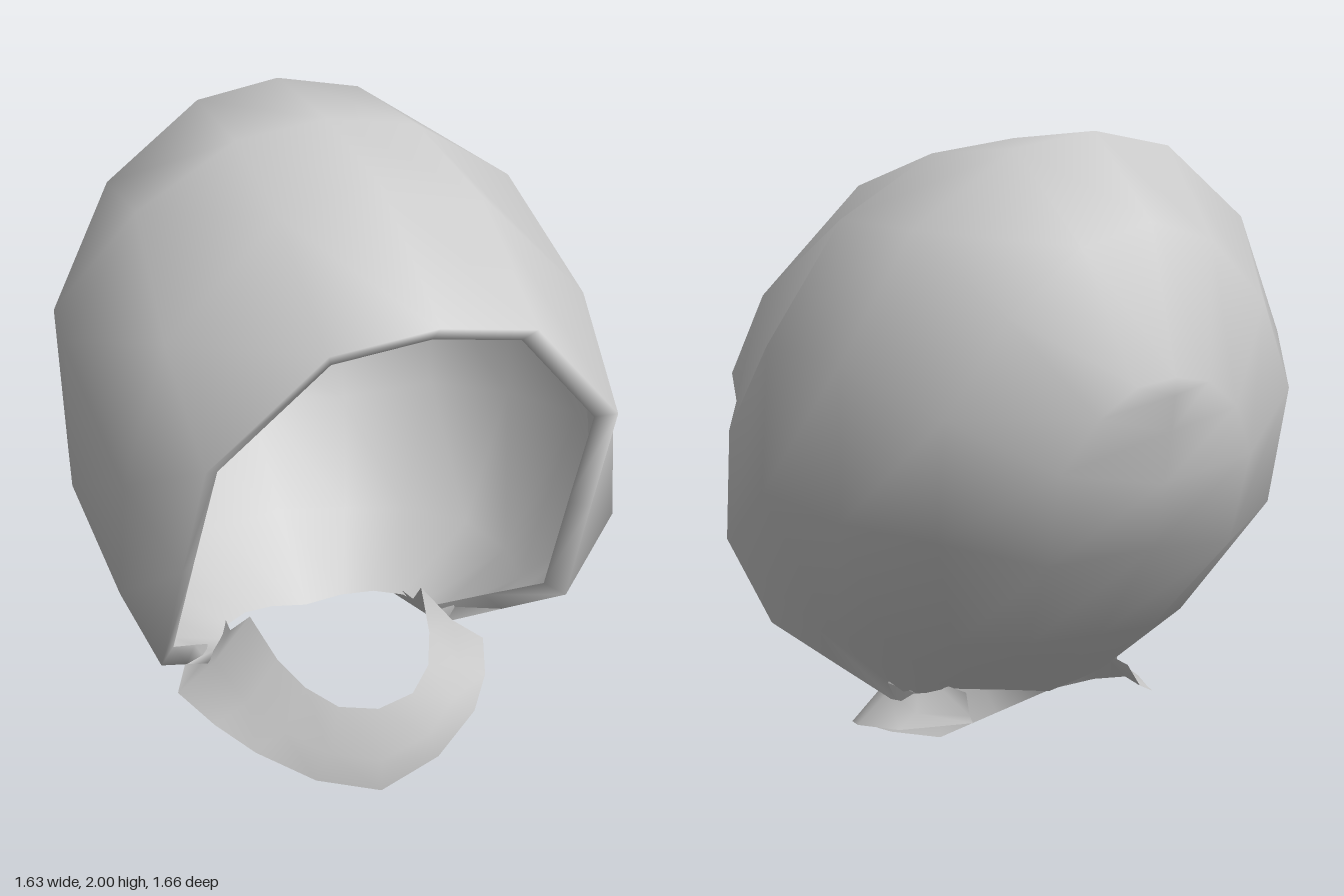
import * as THREE from 'three';
import { mergeVertices } from 'three/addons/utils/BufferGeometryUtils.js';

// Turns half sections (x >= 0, starting on the midline) into a full mirrored section
const mirror = (row) => [...row.slice(1).reverse().map(([x, y, z]) => [-x, y, z]), ...row];

// Skins a list of half sections into one smooth, mirrored surface
function loft(rows) {
  const full = rows.map(mirror);
  const n = full[0].length;
  const index = [];
  for (let j = 0; j < full.length - 1; j++) {
    for (let k = 0; k < n - 1; k++) {
      const a = j * n + k, b = a + 1, c = a + n, d = c + 1;
      index.push(a, b, c, b, d, c);
    }
  }
  const g = new THREE.BufferGeometry();
  g.setAttribute('position', new THREE.Float32BufferAttribute(full.flat(2), 3));
  g.setIndex(index);
  const merged = mergeVertices(g, 1e-4);
  merged.computeVertexNormals();
  return merged;
}

export function createModel() {
  const group = new THREE.Group();
  const cloth = new THREE.MeshStandardMaterial({ color: 0xcccccc, side: THREE.DoubleSide });
  cloth.name = 'paleGreyCloth';
  const add = (name, geometry) => {
    const mesh = new THREE.Mesh(geometry, cloth);
    mesh.name = name;
    group.add(mesh);
  };

  // Face opening, from the peak down to the neck
  const rim = [[0, 1.6, 0.83], [0.3, 1.55, 0.8], [0.61, 1.23, 0.7], [0.63, 0.87, 0.53],
    [0.65, 0.5, 0.36], [0.52, 0.39, 0.18], [0.4, 0.29, 0.02]];
  // Hem folded back inside the opening
  const hem = rim.map(([x, y, z]) => [x * 0.92, 0.9 + (y - 0.9) * 0.935, z - 0.05]);

  // Arches fanning from the crown to the back, all ending on the neck edge
  const arches = [
    [[0, 1.88, 0.4], [0.3, 1.82, 0.42], [0.63, 1.5, 0.42], [0.755, 1.1, 0.41], [0.775, 0.77, 0.4], [0.57, 0.5, 0.2], [0.38, 0.32, 0]],
    [[0, 1.97, 0], [0.28, 1.93, 0], [0.58, 1.75, 0], [0.81, 1.4, 0.02], [0.815, 0.97, 0.06], [0.6, 0.52, 0.03], [0.34, 0.33, -0.05]],
    [[0, 2, -0.43], [0.26, 1.955, -0.42], [0.56, 1.74, -0.38], [0.755, 1.38, -0.32], [0.74, 0.93, -0.28], [0.54, 0.55, -0.15], [0.3, 0.35, -0.1]],
    [[0, 1.76, -0.71], [0.22, 1.7, -0.69], [0.43, 1.52, -0.66], [0.585, 1.25, -0.59], [0.57, 0.9, -0.52], [0.4, 0.55, -0.32], [0.22, 0.35, -0.16]],
    [[0, 1.35, -0.83], [0.12, 1.33, -0.82], [0.23, 1.25, -0.8], [0.32, 1.1, -0.75], [0.31, 0.83, -0.67], [0.22, 0.54, -0.42], [0.12, 0.34, -0.19]],
  ];
  // Centre line of the back, where the last arch closes
  const spine = [[1.35, -0.83], [1.3, -0.825], [1.2, -0.81], [1.05, -0.78], [0.86, -0.73],
    [0.55, -0.46], [0.32, -0.2]].map(([y, z]) => [0, y, z]);
  add('hood', loft([hem, rim, ...arches, spine]));

  // Chin strap: a wide curved band under the opening
  const upper = [[0, 0.265, 0.43], [0.12, 0.285, 0.41], [0.2, 0.33, 0.34], [0.25, 0.38, 0.23],
    [0.285, 0.46, 0.08], [0.31, 0.36, -0.04], [0.29, 0.36, -0.2]];
  const lower = [[0, 0, 0.46], [0.2, 0.06, 0.43], [0.36, 0.14, 0.34], [0.45, 0.19, 0.22],
    [0.515, 0.23, 0.06], [0.45, 0.24, -0.08], [0.32, 0.295, -0.29]];
  const middle = upper.map((p, i) => {
    const q = lower[i];
    return [(p[0] + q[0]) / 2, (p[1] + q[1]) / 2 - 0.025, (p[2] + q[2]) / 2 + (i < 4 ? 0.02 : 0)];
  });
  add('chinStrap', loft([lower, middle, upper]));

  return group;
}
